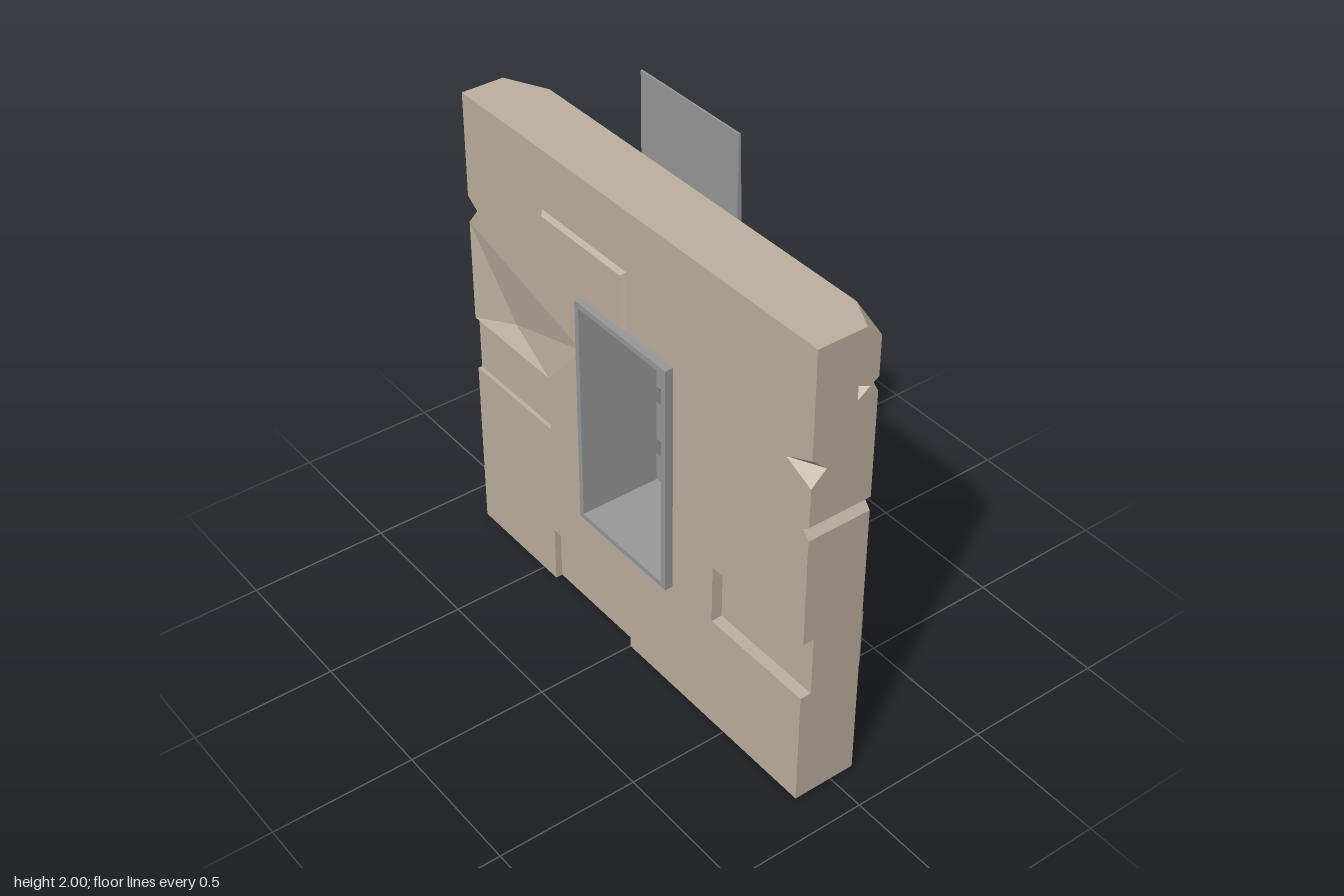
import * as THREE from 'three';
import { ConvexGeometry } from 'three/addons/geometries/ConvexGeometry.js';

const stone = new THREE.MeshStandardMaterial({ color: 0xbfb09f, flatShading: true });
const metal = new THREE.MeshStandardMaterial({ color: 0x999999, flatShading: true });

const BACK = -0.09, MID_B = -0.015, MID_F = 0.085, FRONT = 0.14;
const W = 0.86, H = 1.72;
const WINDOW = [[-0.22, 0.44], [0.22, 0.44], [0.22, 1.28], [-0.22, 1.28]];

export function createModel() {
  const model = new THREE.Group();

  const add = (parent, name, geometry, material) => {
    const mesh = new THREE.Mesh(geometry, material);
    mesh.name = name;
    parent.add(mesh);
    return mesh;
  };
  const group = (name) => {
    const g = new THREE.Group();
    g.name = name;
    model.add(g);
    return g;
  };
  const hull = (points) => new ConvexGeometry(points.map((p) => new THREE.Vector3(...p)));
  const toVec = (pts) => pts.map((p) => new THREE.Vector2(...p));

  // Flat layer between two z planes, with optional holes
  const layer = (outline, z0, z1, holes = []) => {
    const shape = new THREE.Shape(toVec(outline));
    for (const h of holes) shape.holes.push(new THREE.Path(toVec(h)));
    return new THREE.ExtrudeGeometry(shape, { depth: z1 - z0, bevelEnabled: false }).translate(0, 0, z0);
  };
  const box = (x0, x1, y0, y1, z0, z1) =>
    new THREE.BoxGeometry(x1 - x0, y1 - y0, z1 - z0)
      .translate((x0 + x1) / 2, (y0 + y1) / 2, (z0 + z1) / 2);
  // Block whose outer face (z1) is inset by b
  const brick = (x0, x1, y0, y1, z0, z1, b = 0.012) => hull([[z0, 0], [z1, b]].flatMap(([z, i]) => [
    [x0 + i, y0 + i, z], [x1 - i, y0 + i, z], [x1 - i, y1 - i, z], [x0 + i, y1 - i, z]]));

  const wall = group('wall');

  // Faceted dent: sloping fill from each rim edge down to the deepest point
  const dent = (name, rim, apex, top, base, closed = true) => {
    const g = new THREE.Group();
    g.name = name;
    wall.add(g);
    const n = closed ? rim.length : rim.length - 1;
    for (let i = 0; i < n; i++) {
      const p = rim[i], q = rim[(i + 1) % rim.length];
      add(g, 'dentSlope', hull([[...p, top], [...q, top], [...p, base], [...q, base], apex]), stone);
    }
  };

  // Wall core with the chip running through its edge
  const edgeChip = [[W, 1.05], [0.835, 1.08], [W, 1.1]];
  add(wall, 'wallCore', layer([[-W, 0], [W, 0], ...edgeChip, [W, H], [-W, H]], MID_B, MID_F, [WINDOW]), stone);

  // Front layer with sunken bricks and dents cut out of its rim
  const rightGouge = [[W, 1.24], [0.75, 1.29], [W, 1.34]];
  const leftGouge = [[-W, 1.34], [-0.8, 1.3], [-W, 1.24]];
  const bigDent = [[-W, 1.24], [-0.24, 1.08], [-0.43, 0.86], [-W, 0.86]];
  add(wall, 'wallFront', layer([
    [-W, 0], [-0.43, 0], [-0.43, 0.215], [0, 0.215], [0, 0], [W, 0],
    [W, 0.43], [0.43, 0.43], [0.43, 0.65], [W, 0.65],
    ...edgeChip, ...rightGouge, [W, H], [-W, H], ...leftGouge,
    ...bigDent.slice(1, 3), [-0.43, 0.65], [-W, 0.65],
  ], MID_F, FRONT, [WINDOW]), stone);
  dent('frontGougeLeft', rightGouge, [W, 1.29, MID_F], FRONT, MID_F, false);
  dent('frontGougeRight', leftGouge, [-W, 1.29, MID_F], FRONT, MID_F, false);
  dent('largeDent', bigDent, [-0.67, 0.92, 0.1], FRONT, MID_F);

  // Sunken brick faces and the raised brick
  add(wall, 'sunkenBrickLeft', box(0.43, W, 0.43, 0.65, MID_F, 0.1), stone);
  add(wall, 'sunkenBrickRight', box(-W, -0.43, 0.65, 0.86, MID_F, 0.125), stone);
  add(wall, 'sunkenBrickBottom', box(-0.43, 0, 0, 0.215, MID_F, 0.115), stone);
  add(wall, 'raisedBrick', brick(-0.43, 0, 1.29, 1.505, FRONT, 0.155), stone);

  // Back layer with chipped corners and small dents
  const cornerL = [[W, 1.67], [0.75, H]];
  const cornerR = [[-0.71, H], [-W, 1.63]];
  const edgeDentL = [[W, 1.48], [0.82, 1.51], [W, 1.53]];
  const edgeDentR = [[-W, 0.27], [-0.79, 0.22], [-W, 0.18]];
  const pits = [
    { rim: [[-0.53, 1.28], [-0.47, 1.24], [-0.41, 1.33]], apex: [-0.47, 1.28, -0.06] },
    { rim: [[-0.54, 0.43], [-0.46, 0.38], [-0.39, 0.44], [-0.45, 0.48]], apex: [-0.46, 0.43, -0.05] },
    { rim: [[0.43, 0.86], [0.54, 0.67], [0.49, 0.87]], apex: [0.47, 0.84, -0.04] },
  ];
  add(wall, 'wallBack', layer([
    [-W, 0], [W, 0], ...edgeChip, ...edgeDentL, ...cornerL, ...cornerR, ...edgeDentR,
  ], BACK, MID_B, [WINDOW, ...pits.map((p) => p.rim)]), stone);
  dent('chippedCornerLeft', cornerL, [W, H, -0.035], BACK, MID_B, false);
  add(wall, 'cornerFillLeft', hull([[W, H, -0.035], [W, H, MID_B], [0.75, H, MID_B], [W, 1.67, MID_B],
    [0.75, H, BACK], [W, 1.67, BACK]]), stone);
  dent('chippedCornerRight', cornerR, [-W, H, MID_B], BACK, MID_B, false);
  dent('backEdgeDentLeft', edgeDentL, [W, 1.51, -0.06], BACK, MID_B, false);
  dent('backEdgeDentRight', edgeDentR, [-W, 0.22, -0.04], BACK, MID_B, false);
  pits.forEach((p) => dent('backPit', p.rim, p.apex, BACK, MID_B));

  // Bricks pushed out of the back
  add(wall, 'backBrickLeft', brick(0.43, W, 0.43, 0.65, BACK, -0.105), stone);
  add(wall, 'backBrickRight', brick(-W, -0.43, 0.65, 0.86, BACK, -0.102), stone);
  add(wall, 'backBrickBottom', brick(-0.43, 0, 0, 0.215, BACK, -0.12, 0.008), stone);

  // Hollow window casing, open at the front
  const vent = group('vent');
  add(vent, 'casing', layer(
    [[-0.23, 0.43], [0.23, 0.43], [0.23, 1.29], [-0.23, 1.29]], -0.17, 0.17,
    [[[-0.21, 0.45], [0.21, 0.45], [0.21, 1.27], [-0.21, 1.27]]]), metal);

  // Slanted slats: the slots between them drop toward the back
  const zi = -0.13, zo = -0.17, drop = 0.06;
  let lower = [0.45, 0.45];
  for (let i = 0; i <= 4; i++) {
    const slot = 0.56 + i * 0.215;
    const upper = i < 4 ? [slot, slot - drop] : [1.27, 1.27];
    add(vent, 'slat', hull([-0.21, 0.21].flatMap((x) => [
      [x, lower[0], zi], [x, upper[0], zi], [x, lower[1], zo], [x, upper[1], zo]])), metal);
    lower = [slot + 0.06, slot + 0.06 - drop];
  }

  // Tall tapering plate above the vent
  add(model, 'backPlate', hull([-0.23, 0.23].flatMap((x) => [
    [x, 1.28, BACK], [x, 1.28, -0.122], [x, 2, BACK], [x, 2, -0.096]])), metal);

  // Curved side brackets
  for (const s of [1, -1]) {
    const shape = new THREE.Shape();
    shape.moveTo(s * 0.23, 0.94);
    shape.bezierCurveTo(s * 0.32, 1.0, s * 0.4, 1.12, s * 0.41, 1.3);
    shape.lineTo(s * 0.415, 1.51);
    shape.lineTo(s * 0.23, 1.51);
    shape.closePath();
    add(model, s > 0 ? 'leftBracket' : 'rightBracket', new THREE.ExtrudeGeometry(shape,
      { depth: 0.07, bevelEnabled: false, curveSegments: 8 }).translate(0, 0, -0.16), metal);
  }

  return model;
}
